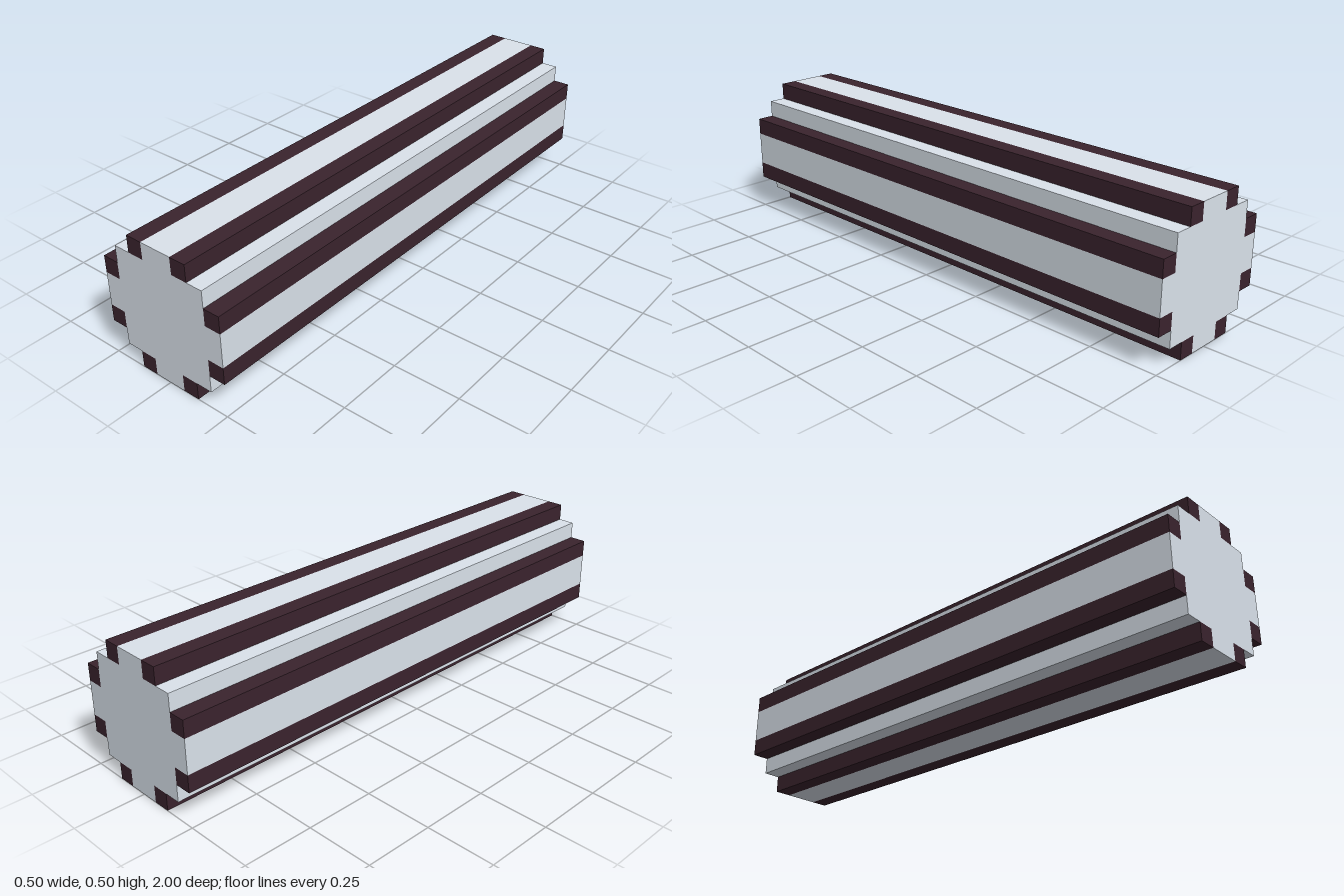
import * as THREE from 'three';

const U = 1 / 16; // profile grid unit
const LENGTH = 2;

export function createModel() {
  const group = new THREE.Group();
  const pale = new THREE.MeshStandardMaterial({ color: 0xdae2eb });
  const dark = new THREE.MeshStandardMaterial({ color: 0x3a232d });

  // Square core with a raised band on each side, extruded along z
  const side = [[3, -1], [4, -1], [4, 1], [3, 1], [3, 3]];
  const points = [];
  for (let i = 0; i < 4; i++) {
    for (const [x, y] of side) {
      points.push(new THREE.Vector2(x * U, y * U)
        .rotateAround(new THREE.Vector2(), i * Math.PI / 2));
    }
  }
  const coreGeometry = new THREE.ExtrudeGeometry(new THREE.Shape(points), {
    depth: LENGTH, bevelEnabled: false,
  });
  coreGeometry.translate(0, 4 * U, -LENGTH / 2);
  const core = new THREE.Mesh(coreGeometry, pale);
  core.name = 'beamCore';
  group.add(core);

  // Dark strips on both edges of every raised band
  const stripGeometry = new THREE.BoxGeometry(U, U, LENGTH);
  const strips = new THREE.Group();
  strips.name = 'edgeStrips';
  for (const [x, y] of [[3.5, 1.5], [1.5, 3.5]]) {
    for (const sx of [-1, 1]) {
      for (const sy of [-1, 1]) {
        const strip = new THREE.Mesh(stripGeometry, dark);
        strip.name = 'edgeStrip';
        strip.position.set(sx * x * U, (4 + sy * y) * U, 0);
        strips.add(strip);
      }
    }
  }
  group.add(strips);
  return group;
}
